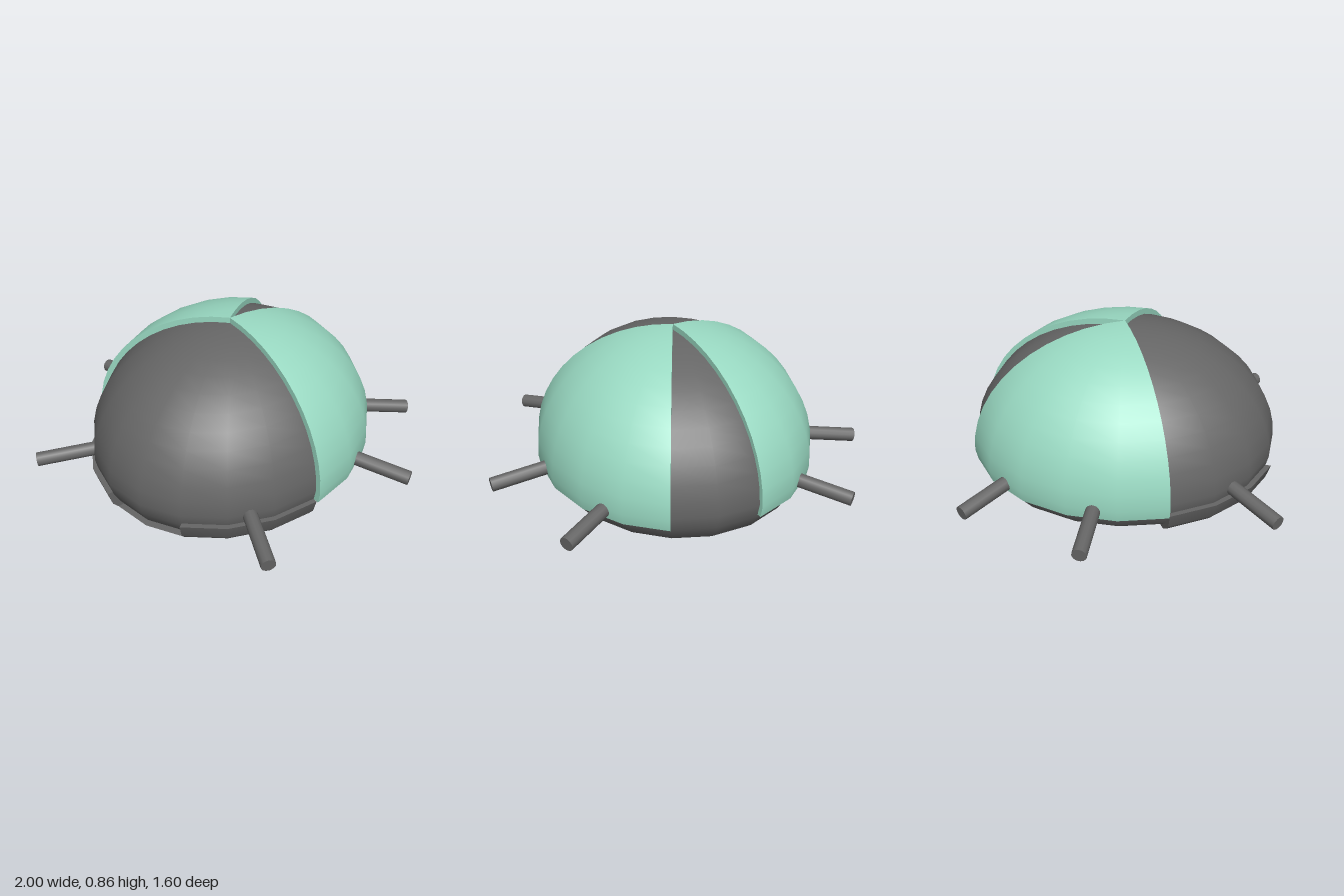
import * as THREE from 'three';
import { mergeGeometries } from 'three/addons/utils/BufferGeometryUtils.js';

const STEP = Math.PI / 10; // one of 20 sides round the body
const RX = 0.7, RZ = 0.8, MID = 0.2, TOP = 0.63;
const dark = new THREE.MeshStandardMaterial({ color: 0x666666, side: THREE.DoubleSide });
const green = new THREE.MeshStandardMaterial({ color: 0x99d9c2, side: THREE.DoubleSide });
const v2 = (r, y) => new THREE.Vector2(r, y);

// Quarter ellipse from the widest ring up to the crown
function dome(height, n = 12) {
  const pts = [];
  for (let i = 0; i <= n; i++) {
    const a = (i / n) * Math.PI / 2;
    pts.push(v2(i === n ? 0 : Math.cos(a), MID + height * Math.sin(a)));
  }
  return pts;
}

// Wedge of a revolved shell with closed end walls and rims, from side a to side b
function wedge(outer, inner, a, b, sx, sz) {
  const start = a * STEP, n = b - a;
  const spin = pts => new THREE.LatheGeometry(pts, n, start, n * STEP);
  const last = outer.length - 1;
  const parts = [spin(outer), spin([inner[0], outer[0]])];
  if (outer[last].x > 0.01) parts.push(spin([outer[last], inner[inner.length - 1]]));
  const section = new THREE.Shape([...outer, ...[...inner].reverse()]);
  for (const u of [a, b]) {
    const wall = new THREE.ShapeGeometry(section);
    wall.rotateY(u * STEP - Math.PI / 2);
    parts.push(wall);
  }
  return mergeGeometries(parts).scale(sx, 1, sz);
}

function leg(from, to) {
  const a = new THREE.Vector3(...from), b = new THREE.Vector3(...to);
  const dir = b.clone().sub(a);
  const mesh = new THREE.Mesh(new THREE.CylinderGeometry(0.037, 0.037, dir.length(), 12), dark);
  mesh.position.copy(a).add(b).multiplyScalar(0.5);
  mesh.quaternion.setFromUnitVectors(new THREE.Vector3(0, 1, 0), dir.normalize());
  return mesh;
}

export function createModel() {
  const group = new THREE.Group();
  const add = (name, mesh) => { mesh.name = name; group.add(mesh); };

  // Domed body with rounded lower edge and flat belly
  const profile = [v2(0.83, 0), v2(0.885, 0.03), v2(0.93, 0.06), v2(0.98, 0.13), ...dome(TOP)];
  add('body', new THREE.Mesh(new THREE.LatheGeometry(profile, 20).scale(RX, 1, RZ), dark));
  const belly = new THREE.LatheGeometry([v2(0, 0), v2(0.83, 0)], 20).scale(RX, 1, RZ);
  add('belly', new THREE.Mesh(belly, dark));

  // Wing covers, five sides wide and slightly proud of the body
  const wingOuter = [v2(0.985, 0.14), ...dome(0.66)];
  const wingInner = [v2(0.93, 0.14), ...dome(0.6).map(p => v2(p.x * 0.95, p.y))];
  // Front rim pieces, leaving a mouth notch in the middle
  const rimOuter = [v2(0.88, 0), v2(0.95, 0.035), v2(0.99, 0.07), v2(1.02, 0.145)];
  const rimInner = [v2(0.8, 0), v2(0.85, 0.035), v2(0.9, 0.07), v2(0.93, 0.145)];

  for (const [side, s] of [['left', 1], ['right', -1]]) {
    const span = (a, b) => (s > 0 ? [a, b] : [-b, -a]);
    add(side + 'WingCover', new THREE.Mesh(
      wedge(wingOuter, wingInner, ...span(4, 9), RX * 1.045, RZ * 1.025), green));
    add(side + 'Rim', new THREE.Mesh(wedge(rimOuter, rimInner, ...span(1, 4), RX, RZ), dark));
    add(side + 'FrontLeg', leg([s * 0.44, 0.195, 0.52], [s * 0.71, 0.15, 0.765]));
    add(side + 'MiddleLeg', leg([s * 0.62, 0.2, -0.105], [s * 0.995, 0.155, -0.157]));
    add(side + 'BackLeg', leg([s * 0.44, 0.195, -0.52], [s * 0.71, 0.15, -0.755]));
  }

  // Low ledge under the mouth notch
  add('mouthLedge', new THREE.Mesh(
    wedge(rimOuter.slice(0, 2), rimInner.slice(0, 2), -1, 1, RX, RZ), dark));

  return group;
}
